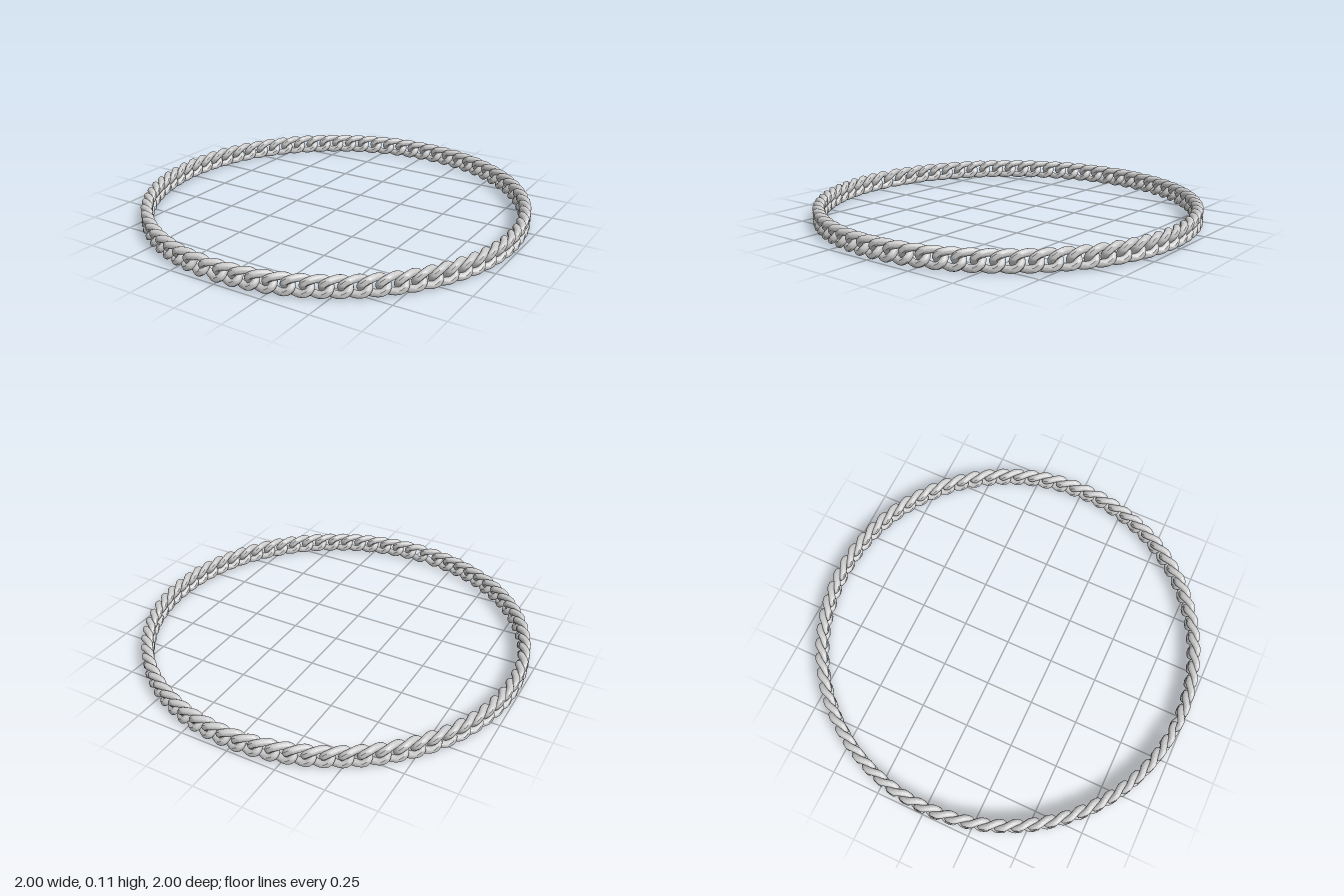
import * as THREE from 'three';
import { toCreasedNormals } from 'three/addons/utils/BufferGeometryUtils.js';

const RING = 0.971;      // radius of the chain's centre line
const HALF = 0.029;      // half thickness after the faces are filed flat
const WIRE = 0.0175;     // wire radius
const LINKS = 75;

// Oval wire path, twisted along its length so that neighbours interlock
class TwistedOval extends THREE.Curve {
  getPoint(u, target = new THREE.Vector3()) {
    const a = u * Math.PI * 2;
    const x = 0.058 * Math.cos(a);
    const y = 0.036 * Math.sin(a);
    return target.set(x, y, -15 * x * y);
  }
}

// One link: file its inner and outer faces flat, then bend it around the ring
function makeLinkGeometry() {
  const geo = new THREE.TubeGeometry(new TwistedOval(), 48, WIRE, 14, true);
  const pos = geo.attributes.position;
  for (let i = 0; i < pos.count; i++) {
    const angle = pos.getX(i) / RING;
    const radius = RING + THREE.MathUtils.clamp(-pos.getZ(i), -HALF, HALF);
    pos.setXYZ(i, radius * Math.sin(angle), pos.getY(i), -radius * Math.cos(angle));
  }
  return toCreasedNormals(geo, 0.6);
}

export function createModel() {
  const chain = new THREE.Group();
  chain.name = 'chainBracelet';
  const material = new THREE.MeshStandardMaterial({ color: 0xcccccc });
  const geo = makeLinkGeometry();
  geo.computeBoundingBox();
  const lift = -geo.boundingBox.min.y;

  // Links run around the ring, with a slightly wider joint at the front
  const step = (Math.PI * 2) / (LINKS + 0.25);
  const joint = Math.PI + 0.075;
  for (let i = 0; i < LINKS; i++) {
    const link = new THREE.Mesh(geo, material);
    link.name = 'link' + (i + 1);
    link.position.y = lift;
    link.rotation.y = -(joint + step * (i + 0.625));
    chain.add(link);
  }
  return chain;
}
